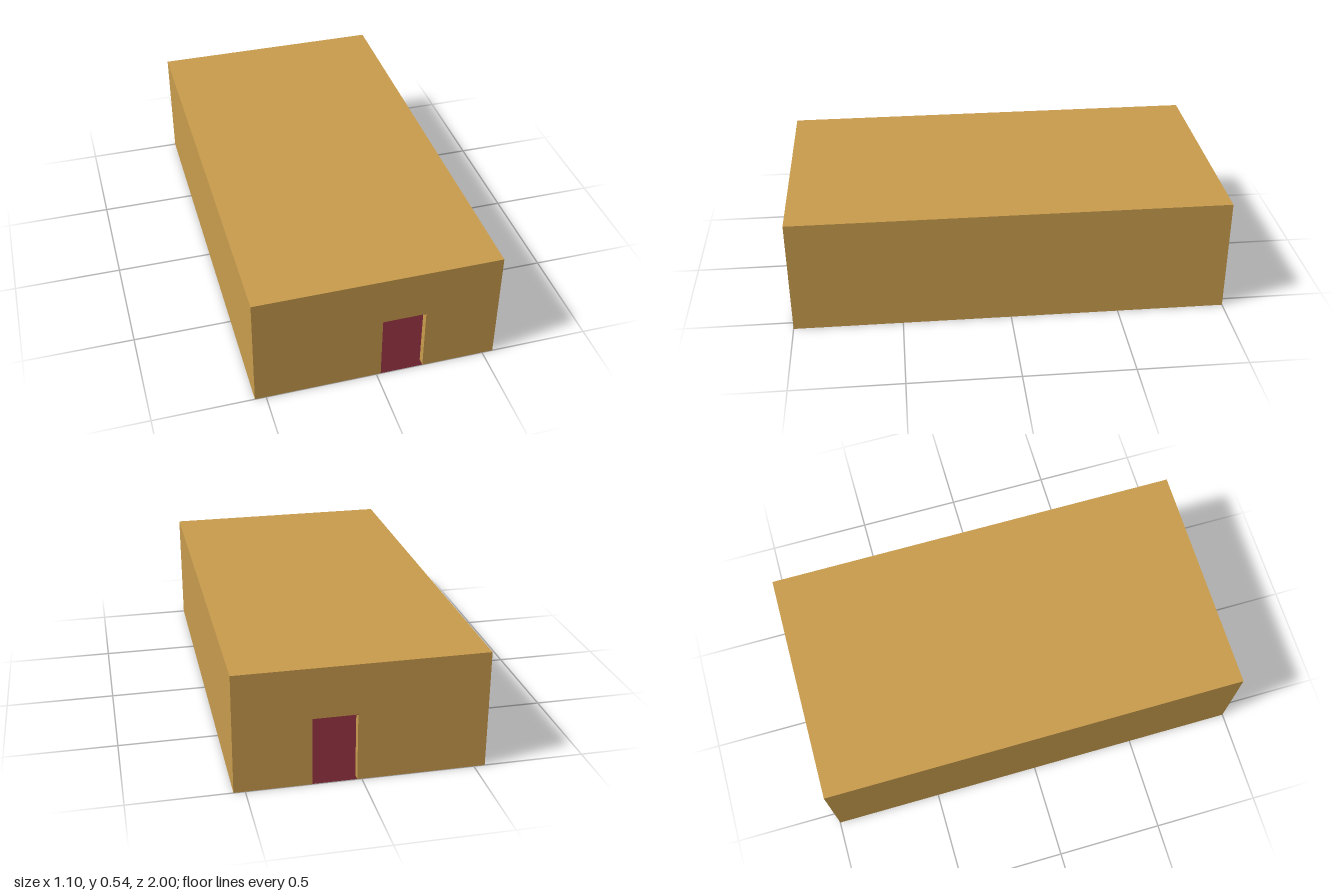
import * as THREE from 'three';

const W = 1.1, H = 0.54, L = 2, T = 0.035; // outer size and wall thickness
const DOOR = { x0: 0.02, x1: 0.215, h: 0.31 };

const tan = new THREE.MeshStandardMaterial({ color: 0xc99c4d });
tan.name = 'tan plaster';
const maroon = new THREE.MeshStandardMaterial({ color: 0x66202b, side: THREE.DoubleSide });
maroon.name = 'maroon floor';

export function createModel() {
  const building = new THREE.Group();
  building.name = 'building';

  const add = (name, geometry, material, x, y, z) => {
    const mesh = new THREE.Mesh(geometry, material);
    mesh.name = name;
    mesh.position.set(x, y, z);
    building.add(mesh);
    return mesh;
  };

  // Horizontal sheet lying at height y
  const sheet = (name, w, d, x, y, z) =>
    add(name, new THREE.PlaneGeometry(w, d).rotateX(-Math.PI / 2), maroon, x, y, z);

  // Flat roof and long side walls
  add('roof', new THREE.BoxGeometry(W, T, L), tan, 0, H - T / 2, 0);
  for (const [name, s] of [['leftWall', 1], ['rightWall', -1]]) {
    add(name, new THREE.BoxGeometry(T, H - T, L - 2 * T), tan, s * (W - T) / 2, (H - T) / 2, 0);
  }

  // End wall outline with an open doorway notched into its lower edge
  const outline = new THREE.Shape([
    [-W / 2, 0], [DOOR.x0, 0], [DOOR.x0, DOOR.h], [DOOR.x1, DOOR.h],
    [DOOR.x1, 0], [W / 2, 0], [W / 2, H - T], [-W / 2, H - T],
  ].map(([x, y]) => new THREE.Vector2(x, y)));
  const endWall = new THREE.ExtrudeGeometry(outline, { depth: T, bevelEnabled: false });
  endWall.translate(0, 0, -T / 2);

  const doorW = DOOR.x1 - DOOR.x0, doorX = (DOOR.x0 + DOOR.x1) / 2;
  for (const [side, s] of [['front', 1], ['back', -1]]) {
    const z = s * (L - T) / 2;
    add(side + 'Wall', endWall, tan, 0, 0, z);
    // Maroon threshold and door head
    sheet(side + 'Threshold', doorW, T, doorX, 0.001, z);
    sheet(side + 'DoorHead', doorW, T, doorX, DOOR.h - 0.001, z);
  }

  // Thin floor between the walls
  sheet('floor', W - 2 * T, L - 2 * T, 0, 0.001, 0);

  return building;
}
